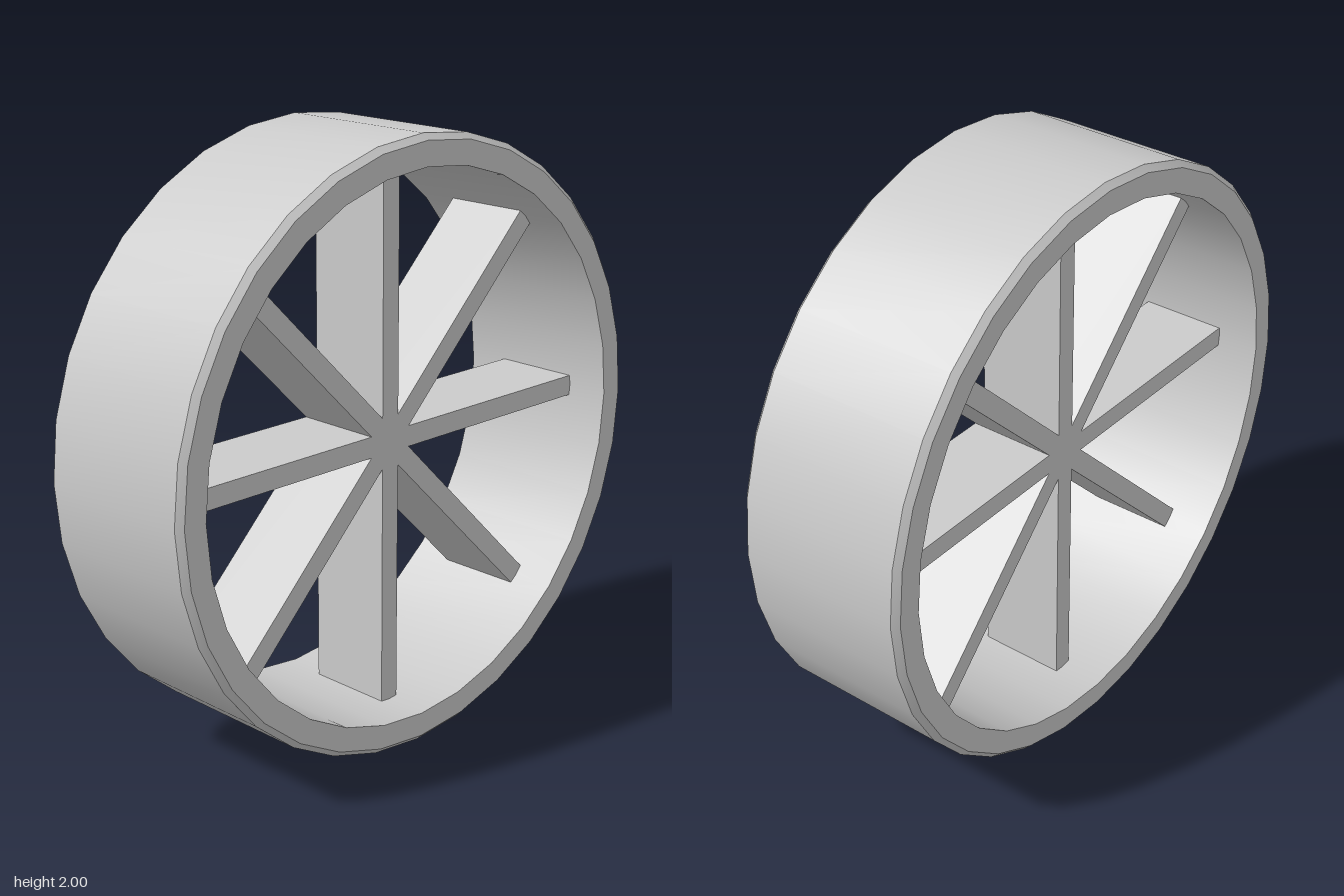
import * as THREE from 'three';
import { toCreasedNormals } from 'three/addons/utils/BufferGeometryUtils.js';

const OUTER = 1, INNER = 0.9, HALF_WIDTH = 0.3, BEVEL = 0.02;
const SPOKE_DEPTH = 0.3, SPOKE_THICKNESS = 0.07;

export function createModel() {
  const wheel = new THREE.Group();
  wheel.name = 'wheel';
  const material = new THREE.MeshStandardMaterial({ color: 0xcccccc });

  // Rim: closed ring profile, chamfered on the outer edges, turned about the x axis
  const profile = [
    [INNER, -HALF_WIDTH],
    [OUTER - BEVEL, -HALF_WIDTH],
    [OUTER, -HALF_WIDTH + BEVEL],
    [OUTER, HALF_WIDTH - BEVEL],
    [OUTER - BEVEL, HALF_WIDTH],
    [INNER, HALF_WIDTH],
    [INNER, -HALF_WIDTH],
  ].map(([r, h]) => new THREE.Vector2(r, h));
  const rimGeometry = new THREE.LatheGeometry(profile, 32).rotateZ(Math.PI / 2);
  const rim = new THREE.Mesh(toCreasedNormals(rimGeometry, 0.6), material);
  rim.name = 'rim';
  wheel.add(rim);

  // Spokes: four flat bars crossing at the centre
  const spokeGeometry = new THREE.BoxGeometry(SPOKE_DEPTH, INNER * 2, SPOKE_THICKNESS);
  for (let i = 0; i < 4; i++) {
    const spoke = new THREE.Mesh(spokeGeometry, material);
    spoke.name = `spokePair${i + 1}`;
    spoke.rotation.x = (i * Math.PI) / 4;
    wheel.add(spoke);
  }

  wheel.position.y = OUTER;
  const model = new THREE.Group();
  model.name = 'spokedWheel';
  model.add(wheel);
  return model;
}
